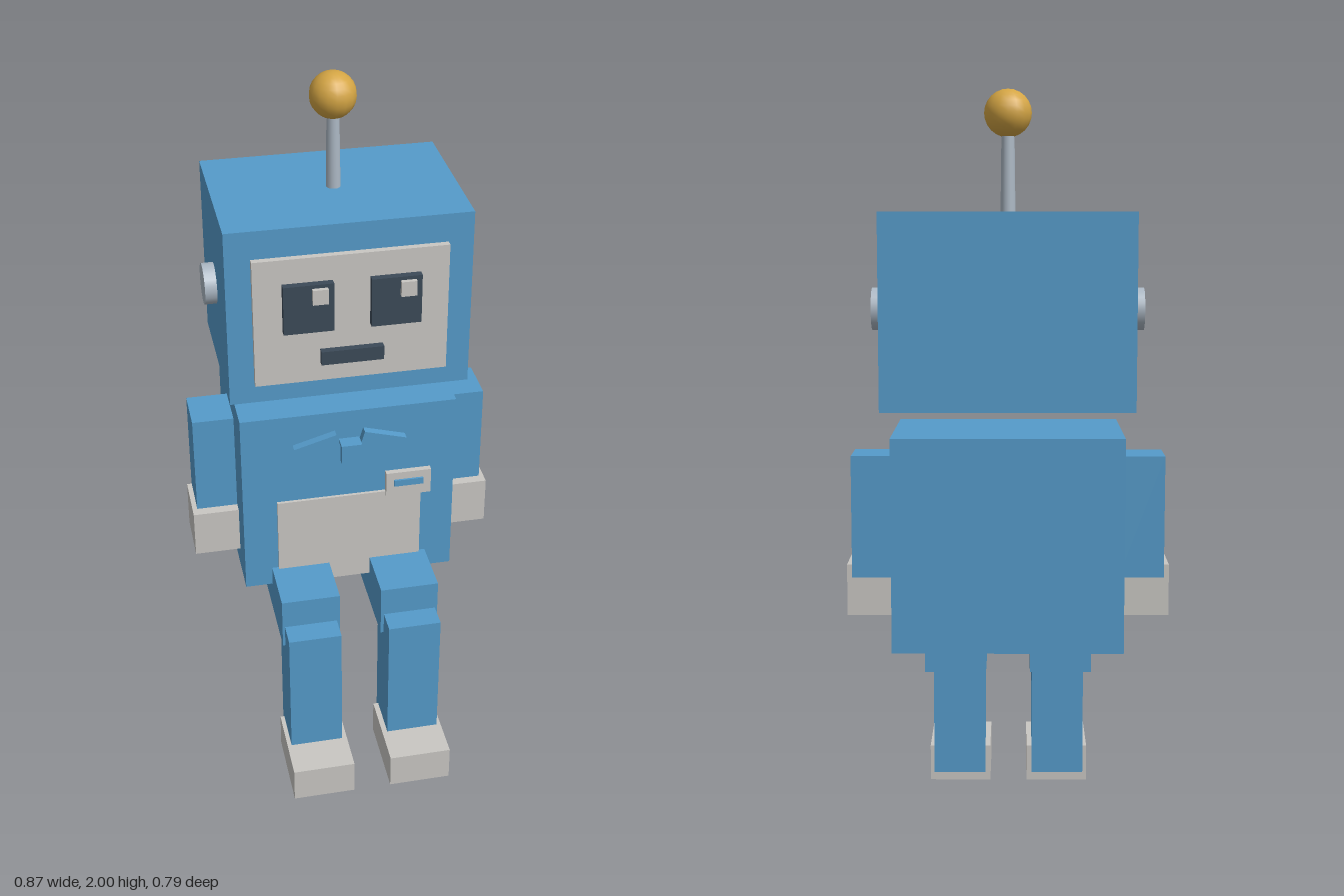
import * as THREE from 'three';

const mat = (name, color) => {
  const m = new THREE.MeshStandardMaterial({ color });
  m.name = name;
  return m;
};

export function createModel() {
  const blue = mat('blue shell', 0x559bca);
  const cream = mat('warm grey', 0xc9c7c3);
  const dark = mat('dark slate', 0x3c4a58);
  const metal = mat('metal', 0xacb8c4);
  const gold = mat('gold', 0xd4a544);

  const robot = new THREE.Group();
  robot.name = 'robot';

  const add = (parent, name, geometry, material, x, y, z) => {
    const mesh = new THREE.Mesh(geometry, material);
    mesh.name = name;
    mesh.position.set(x, y, z);
    parent.add(mesh);
    return mesh;
  };
  // Box given by its extents along each axis
  const box = (parent, name, material, [x0, x1], [y0, y1], [z0, z1]) =>
    add(parent, name, new THREE.BoxGeometry(x1 - x0, y1 - y0, z1 - z0), material,
      (x0 + x1) / 2, (y0 + y1) / 2, (z0 + z1) / 2);
  const group = (name) => {
    const g = new THREE.Group();
    g.name = name;
    robot.add(g);
    return g;
  };
  // Extents on the model's left (+x) or right (-x)
  const mirror = (side, a, b) => (side > 0 ? [a, b] : [-b, -a]);
  const sides = [[1, 'left'], [-1, 'right']];

  // Head with face plate, mouth and antenna
  const head = group('head');
  box(head, 'headShell', blue, [-0.33, 0.33], [1.17, 1.68], [-0.395, 0.062]);
  box(head, 'facePlate', cream, [-0.262, 0.262], [1.23, 1.6], [0.055, 0.08]);
  box(head, 'mouth', dark, [-0.085, 0.085], [1.287, 1.327], [0.075, 0.1]);
  add(head, 'antennaRod', new THREE.CylinderGeometry(0.017, 0.02, 0.24, 16), metal, 0, 1.79, -0.165);
  add(head, 'antennaBall', new THREE.SphereGeometry(0.063, 16, 12), gold, 0, 1.937, -0.165);

  for (const [side, label] of sides) {
    // Eyes, with both glints offset toward +x
    box(head, label + 'Eye', dark, mirror(side, 0.05, 0.185), [1.39, 1.53], [0.075, 0.1]);
    const glintX = side * 0.1175 + 0.03;
    box(head, label + 'EyeGlint', cream, [glintX - 0.021, glintX + 0.021], [1.477, 1.52], [0.095, 0.112]);
    // Round ear caps
    const ear = add(head, label + 'Ear', new THREE.CylinderGeometry(0.057, 0.057, 0.06, 20), metal,
      side * 0.333, 1.423, -0.165);
    ear.rotation.z = -side * Math.PI / 2;
  }

  // Torso with belly panel and name badge
  const torso = group('torso');
  box(torso, 'body', blue, [-0.305, 0.305], [0.53, 1.1], [-0.373, 0.048]);
  box(torso, 'bellyPanel', cream, [-0.208, 0.208], [0.532, 0.82], [0.04, 0.057]);
  box(torso, 'badge', cream, [0.105, 0.235], [0.807, 0.885], [0.04, 0.065]);
  box(torso, 'badgeStripe', blue, [0.127, 0.212], [0.842, 0.862], [0.06, 0.071]);

  // Bow tie
  box(torso, 'bowKnot', blue, [-0.029, 0.029], [0.955, 1.012], [0.04, 0.09]);
  for (const [side, label] of sides) {
    const wing = add(torso, label + 'BowWing', new THREE.BoxGeometry(0.124, 0.085, 0.032), blue,
      side * 0.088, 0.983, 0.056);
    wing.rotation.z = -side * 0.28;
  }

  // Arms and hands, bent legs and feet
  for (const [side, label] of sides) {
    const arm = group(label + 'Arm');
    box(arm, 'sleeve', blue, mirror(side, 0.3, 0.422), [0.7, 1.032], [-0.217, -0.082]);
    box(arm, 'hand', cream, mirror(side, 0.3, 0.436), [0.595, 0.735], [-0.212, -0.053]);

    const leg = group(label + 'Leg');
    box(leg, 'thigh', blue, mirror(side, 0.06, 0.227), [0.433, 0.588], [-0.205, 0.214]);
    box(leg, 'shin', blue, mirror(side, 0.069, 0.22), [0.03, 0.5], [0.137, 0.283]);
    box(leg, 'foot', cream, mirror(side, 0.054, 0.232), [0, 0.105], [0.157, 0.395]);
  }

  return robot;
}
